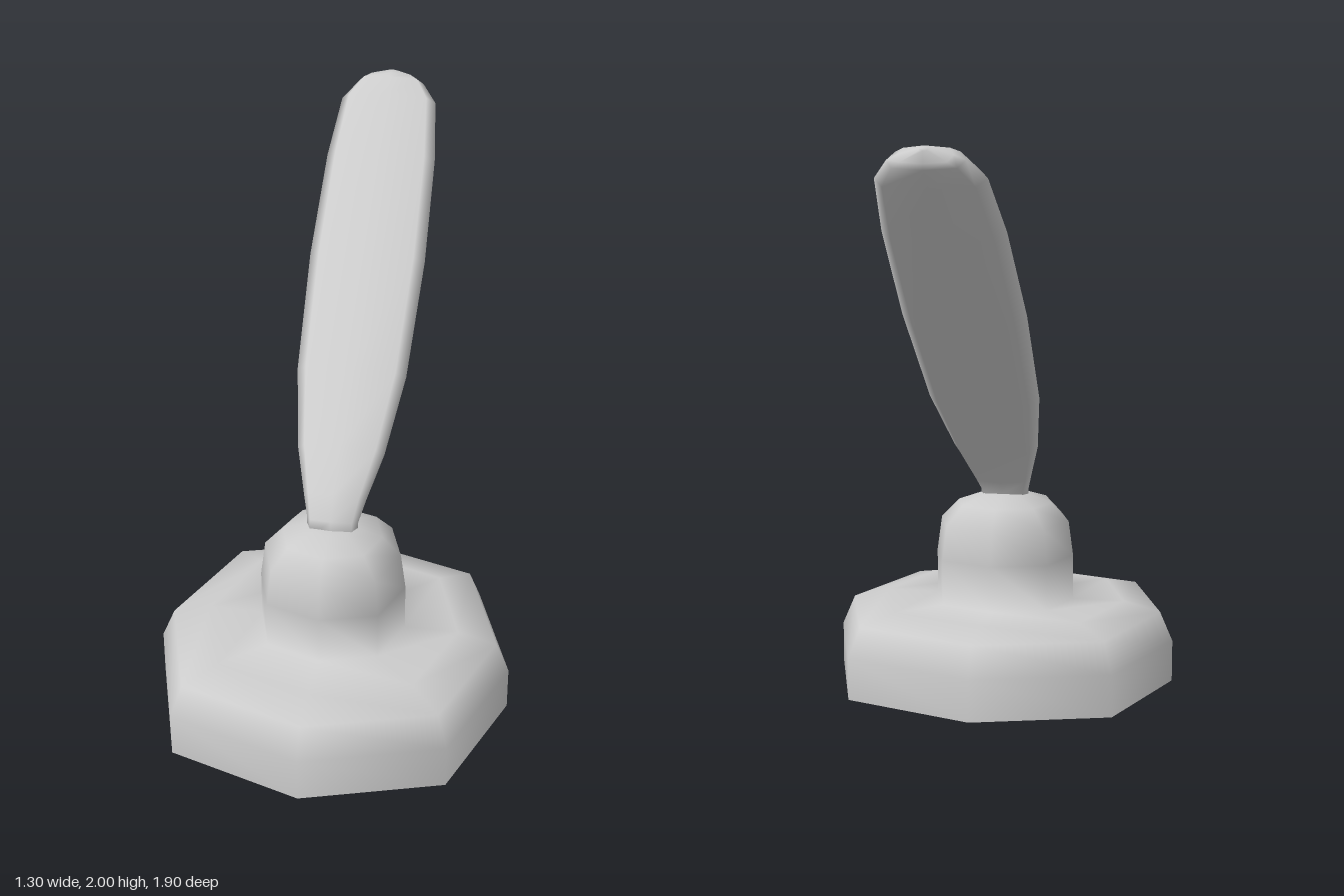
import * as THREE from 'three';
import { mergeVertices } from 'three/addons/utils/BufferGeometryUtils.js';

const material = new THREE.MeshStandardMaterial({ color: 0xcccccc });

// Eight-sided foot and dome in one profile, from the bottom rim to the top centre
function createBase() {
  const sides = 8;
  const profile = [
    [0.648, 0], [0.648, 0.155], [0.6, 0.265], [0.46, 0.3], [0.265, 0.3],
    [0.265, 0.47], [0.247, 0.6], [0.18, 0.67], [0.085, 0.702], [0, 0.705],
  ].map(([r, y]) => new THREE.Vector2(r, y));
  const lathe = new THREE.LatheGeometry(profile, sides);
  // Push the diagonal corners slightly outward
  const p = lathe.attributes.position;
  for (let i = 0; i < p.count; i++) {
    const x = p.getX(i), z = p.getZ(i);
    if (Math.abs(x) > 0.01 && Math.abs(z) > 0.01) p.setXYZ(i, x * 1.06, p.getY(i), z * 1.06);
  }
  // Weld all corners so the shading runs smoothly all round
  lathe.deleteAttribute('uv');
  lathe.deleteAttribute('normal');
  const geometry = mergeVertices(lathe, 1e-4);
  geometry.computeVertexNormals();
  // Close the underside with a fan that shares the rim normals
  const q = geometry.attributes.position;
  const rim = [...Array(q.count).keys()]
    .filter((i) => q.getY(i) < 1e-4)
    .sort((a, b) => Math.atan2(q.getX(a), q.getZ(a)) - Math.atan2(q.getX(b), q.getZ(b)));
  const index = Array.from(geometry.index.array);
  for (let i = 1; i < sides - 1; i++) index.push(rim[0], rim[i + 1], rim[i]);
  geometry.setIndex(index);

  const mesh = new THREE.Mesh(geometry, material);
  mesh.name = 'base';
  mesh.position.z = 0.305;
  return mesh;
}

// Flat paddle lofted along a bent centre line
function createLever() {
  // y, z, half width, half thickness, lean of the section in degrees
  const sections = [
    [0.67, 0.315, 0.09, 0.045, 10],
    [0.72, 0.302, 0.092, 0.045, 20],
    [0.785, 0.257, 0.112, 0.048, 42],
    [0.91, 0.138, 0.157, 0.048, 45],
    [1.12, -0.07, 0.2, 0.048, 45],
    [1.44, -0.39, 0.215, 0.048, 45],
    [1.73, -0.68, 0.205, 0.048, 45],
    [1.9, -0.853, 0.18, 0.048, 45],
    [1.955, -0.91, 0.125, 0.044, 45],
    [1.97, -0.924, 0.09, 0.038, 45],
    [1.99, -0.943, 0.015, 0.012, 45],
  ];
  // Rounded flat outline in units of half width and half thickness
  const outline = [
    [1, 0], [0.82, 0.8], [0, 1], [-0.82, 0.8],
    [-1, 0], [-0.82, -0.8], [0, -1], [0.82, -0.8],
  ];
  const n = outline.length;
  const positions = [], index = [];
  for (const [y, z, w, t, lean] of sections) {
    const a = THREE.MathUtils.degToRad(lean);
    for (const [u, v] of outline) {
      positions.push(u * w, y + v * t * Math.sin(a), z + v * t * Math.cos(a));
    }
  }
  for (let s = 0; s < sections.length - 1; s++) {
    for (let i = 0; i < n; i++) {
      const a = s * n + i, b = s * n + (i + 1) % n;
      index.push(a, a + n, b, b, a + n, b + n);
    }
  }
  // Close the tip and the hidden root
  const tip = (sections.length - 1) * n;
  for (let i = 1; i < n - 1; i++) {
    index.push(tip, tip + i + 1, tip + i, 0, i, i + 1);
  }
  const geometry = new THREE.BufferGeometry();
  geometry.setAttribute('position', new THREE.Float32BufferAttribute(positions, 3));
  geometry.setIndex(index);
  geometry.computeVertexNormals();
  const mesh = new THREE.Mesh(geometry, material);
  mesh.name = 'lever';
  return mesh;
}

export function createModel() {
  const model = new THREE.Group();
  model.name = 'leverSwitch';
  model.add(createBase(), createLever());
  return model;
}
